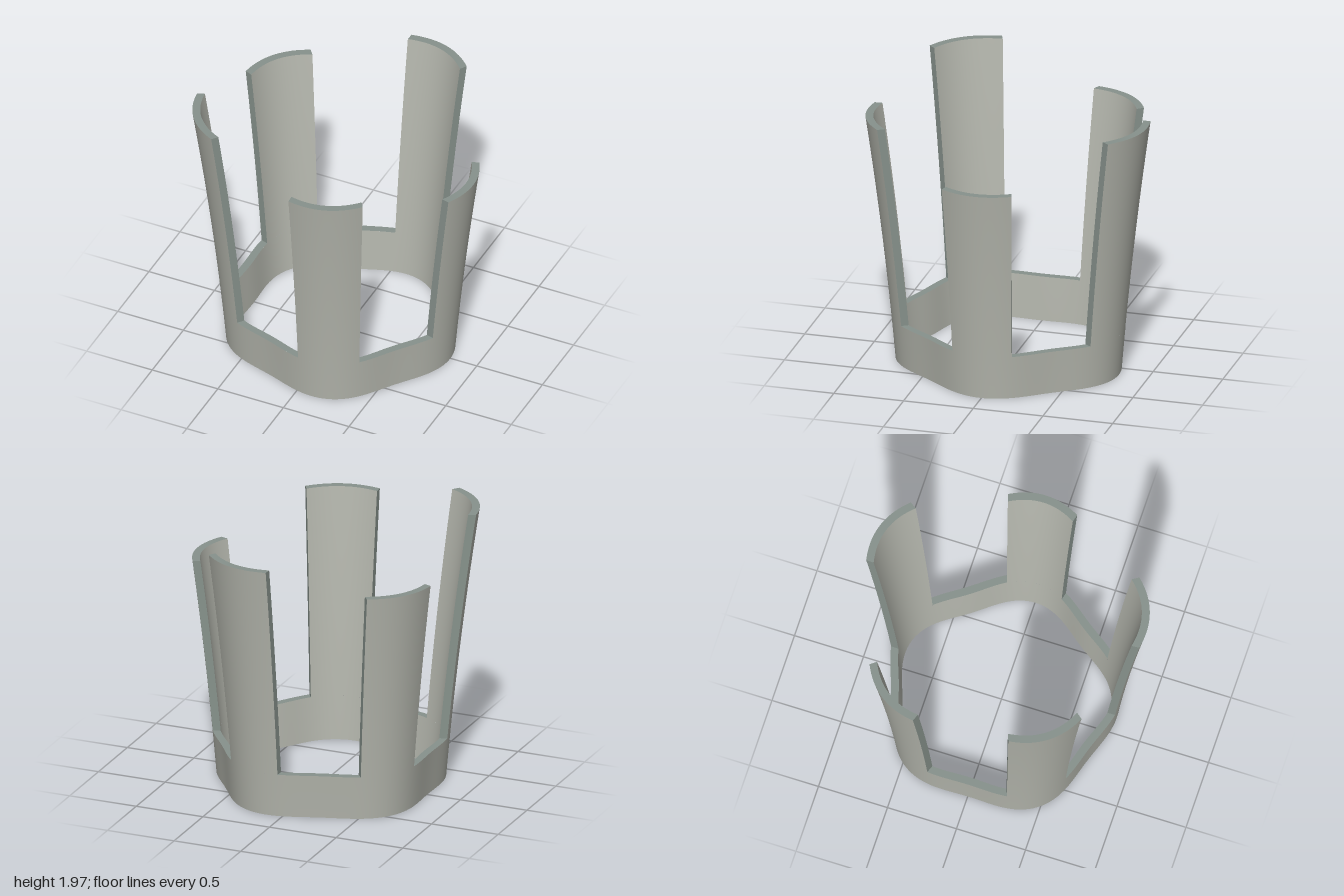
import * as THREE from 'three';
import { mergeGeometries } from 'three/addons/utils/BufferGeometryUtils.js';
import { ParametricGeometry } from 'three/addons/geometries/ParametricGeometry.js';

const THICK = 0.055;
const BAND = 0.315;
const HALF = THREE.MathUtils.degToRad(15.2);
const STEP = (Math.PI * 2) / 5;
const HEIGHTS = [1.56, 1.79, 1.97, 1.69, 1.87];
const lerp = THREE.MathUtils.lerp;

// point on the five-lobed flaring wall; t = 0 outside, t = 1 inside
function wallPoint(angle, y, t, target) {
  const flare = 1 + 0.105 * y + 0.021 * y * y;
  const r = (0.775 + 0.04 * Math.cos(5 * angle)) * flare - t * THICK;
  target.set(r * Math.cos(angle), y, r * Math.sin(angle));
}

// smooth outer and inner skins between two angles and two heights
function skins(a0, a1, y0, y1, nu, nv) {
  return mergeGeometries([
    new ParametricGeometry((u, v, p) => wallPoint(lerp(a0, a1, u), lerp(y1, y0, v), 0, p), nu, nv),
    new ParametricGeometry((u, v, p) => wallPoint(lerp(a0, a1, u), lerp(y0, y1, v), 1, p), nu, nv),
  ]);
}

// flat rim across the thickness, facing up or down
function rim(a0, a1, y, up, nu) {
  return new ParametricGeometry(
    (u, v, p) => wallPoint(lerp(a0, a1, u), y, up ? 1 - v : v, p), nu, 1);
}

// radial cut face at one side of a prong
function cut(a, y0, y1, forward) {
  return new ParametricGeometry(
    (u, v, p) => wallPoint(a, lerp(y0, y1, v), forward ? 1 - u : u, p), 1, 16);
}

export function createModel() {
  const wallMat = new THREE.MeshStandardMaterial({ color: 0xb3b5ac });
  wallMat.name = 'warmGrey';
  const edgeMat = new THREE.MeshStandardMaterial({ color: 0x87928c });
  edgeMat.name = 'coolGrey';

  const model = new THREE.Group();
  model.name = 'prongedHolder';

  function addPart(name, wall, edges) {
    const part = new THREE.Group();
    part.name = name;
    const wallMesh = new THREE.Mesh(wall, wallMat);
    wallMesh.name = name + 'Wall';
    const edgeMesh = new THREE.Mesh(mergeGeometries(edges), edgeMat);
    edgeMesh.name = name + 'Edges';
    part.add(wallMesh, edgeMesh);
    model.add(part);
  }

  // base band, with its top rim only in the gaps between prongs
  const bandEdges = [rim(0, Math.PI * 2, 0, false, 160)];
  for (let i = 0; i < 5; i++) {
    bandEdges.push(rim(i * STEP + HALF, (i + 1) * STEP - HALF, BAND, true, 20));
  }
  addPart('baseBand', skins(0, Math.PI * 2, 0, BAND, 160, 4), bandEdges);

  // five prongs of different heights, one on each lobe
  HEIGHTS.forEach((h, i) => {
    const a0 = i * STEP - HALF;
    const a1 = i * STEP + HALF;
    addPart('prong' + (i + 1), skins(a0, a1, BAND, h, 16, 16), [
      rim(a0, a1, h, true, 16),
      cut(a0, BAND, h, false),
      cut(a1, BAND, h, true),
    ]);
  });

  model.children.forEach((part) => part.position.set(-0.016, 0, 0.004));
  return model;
}
